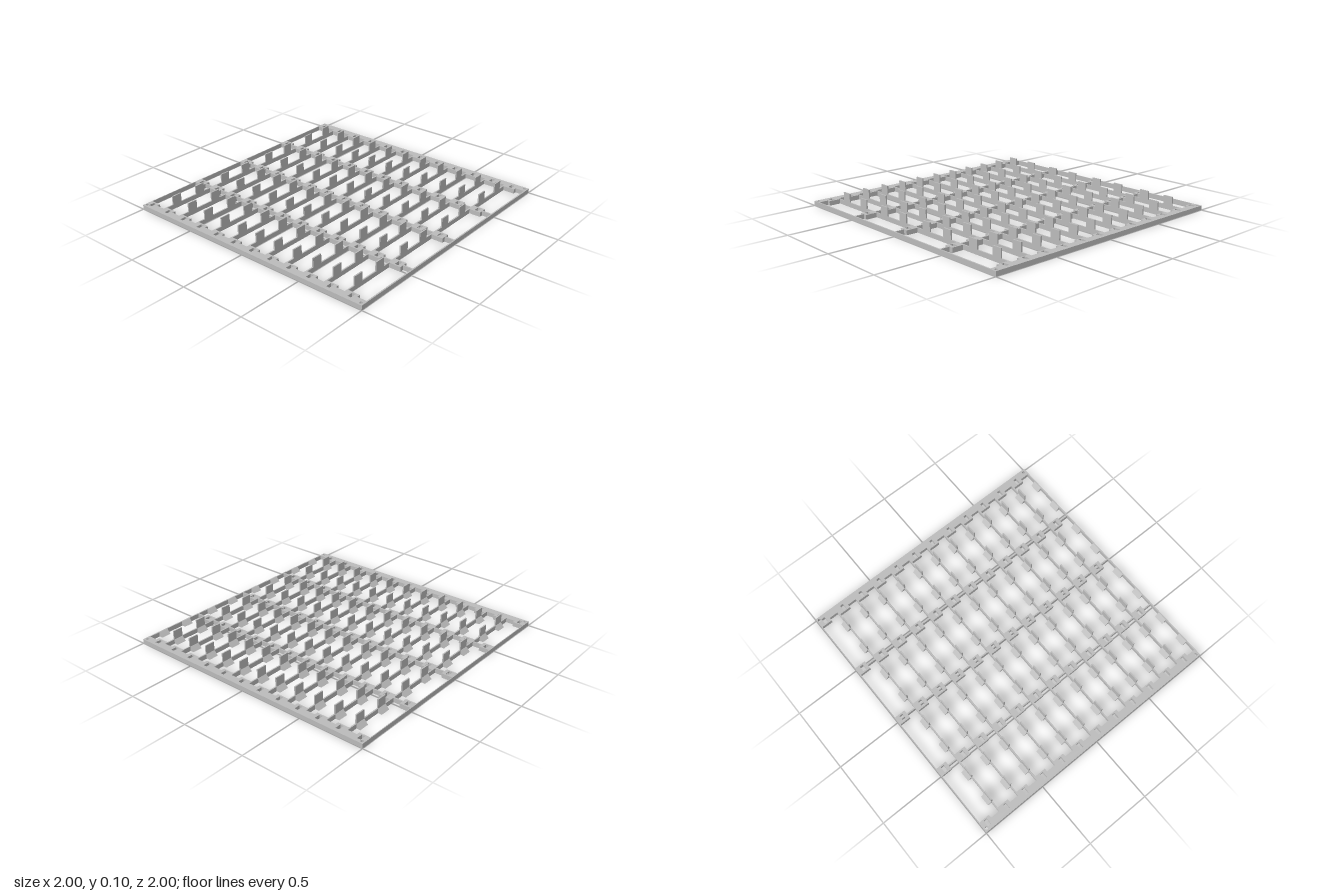
import * as THREE from 'three';

const H = 0.034;            // frame height
const ROWS = 12;
const PITCH = 2 / ROWS;
const BLOCK = 0.088;        // depth of each slotted block
const TAB_X = [0.13, 0.347, 0.604, 0.822];
const TAB_W = 0.077;

const grey = new THREE.MeshStandardMaterial({ color: 0xbcbcbc });
grey.name = 'grey plastic';

function add(group, name, geometry) {
  const mesh = new THREE.Mesh(geometry, grey);
  mesh.name = name;
  group.add(mesh);
  return mesh;
}

function box(group, name, x0, x1, y0, y1, z0, z1) {
  const mesh = add(group, name, new THREE.BoxGeometry(x1 - x0, y1 - y0, z1 - z0));
  mesh.position.set((x0 + x1) / 2, (y0 + y1) / 2, (z0 + z1) / 2);
  return mesh;
}

function rectHole(x0, x1, z0, z1) {
  return new THREE.Path([[x0, z0], [x1, z0], [x1, z1], [x0, z1]].map(p => new THREE.Vector2(...p)));
}

// Extrude a plan drawn in x and z up to the frame height
function slab(shape) {
  const g = new THREE.ExtrudeGeometry(shape, { depth: H, bevelEnabled: false, curveSegments: 6 });
  return g.rotateX(Math.PI / 2).translate(0, H, 0);
}

// Side rail with inward blocks, slots and round corner holes
function sideRail(s) {
  const pts = [new THREE.Vector2(s, -1)];
  for (let i = 0; i < ROWS; i++) {
    const z = -1 + i * PITCH;
    pts.push(new THREE.Vector2(s * 0.918, z), new THREE.Vector2(s * 0.918, z + BLOCK),
      new THREE.Vector2(s * 0.943, z + BLOCK), new THREE.Vector2(s * 0.943, z + PITCH));
  }
  pts.push(new THREE.Vector2(s, 1));
  const shape = new THREE.Shape(pts);
  for (let i = 0; i < ROWS; i++) {
    const z = -1 + i * PITCH;
    shape.holes.push(rectHole(s * 0.928, s * 0.973, z + 0.036, z + 0.062));
  }
  for (const z of [-0.98, 0.976]) {
    shape.holes.push(new THREE.Path().absarc(s * 0.977, z, 0.011, 0, Math.PI * 2));
  }
  return slab(shape);
}

// Small slotted block on a lengthwise rib
function ribBlock() {
  const shape = new THREE.Shape([[-0.033, 0], [0.033, 0], [0.033, BLOCK], [-0.033, BLOCK]]
    .map(p => new THREE.Vector2(...p)));
  shape.holes.push(rectHole(-0.022, 0.022, 0.036, 0.062));
  return slab(shape);
}

// Ramp rising from the back towards its crossbar
function rampGeometry() {
  const shape = new THREE.Shape([[0, 0], [0.03, 0], [0.03, H]].map(p => new THREE.Vector2(...p)));
  return new THREE.ExtrudeGeometry(shape, { depth: TAB_W, bevelEnabled: false })
    .translate(0, 0, -TAB_W / 2).rotateY(-Math.PI / 2);
}

export function createModel() {
  const model = new THREE.Group();
  model.name = 'slottedGrid';

  add(model, 'leftRail', sideRail(1));
  add(model, 'rightRail', sideRail(-1));
  box(model, 'backBar', -0.92, 0.92, 0, H, -1, -0.994);

  const block = ribBlock();
  const ramp = rampGeometry();
  for (let i = 0; i < ROWS; i++) {
    const row = new THREE.Group();
    row.name = 'row' + (i + 1);
    model.add(row);
    const start = -1 + i * PITCH;
    const end = start + PITCH;

    box(row, 'crossbar', -0.945, 0.945, 0, H, end - 0.01, end);

    // Lengthwise ribs and their blocks
    for (const x of [-0.475, 0, 0.475]) {
      add(row, 'ribBlock', block).position.set(x, 0, start);
      box(row, 'rib', x - 0.005, x + 0.005, 0, H, start + BLOCK, end - 0.01);
    }
    box(row, 'slotDivider', -0.004, 0.004, 0, H * 0.8, start + 0.036, start + 0.062);

    // Ramps, with upright tabs on all but the front crossbar
    for (const s of [-1, 1]) {
      for (const t of TAB_X) {
        const x = s * t;
        add(row, 'ramp', ramp).position.set(x, 0, end - 0.04);
        if (i < ROWS - 1) {
          box(row, 'uprightTab', x - TAB_W / 2, x + TAB_W / 2, H, 0.1, end - 0.01, end);
        }
      }
    }
  }
  return model;
}
